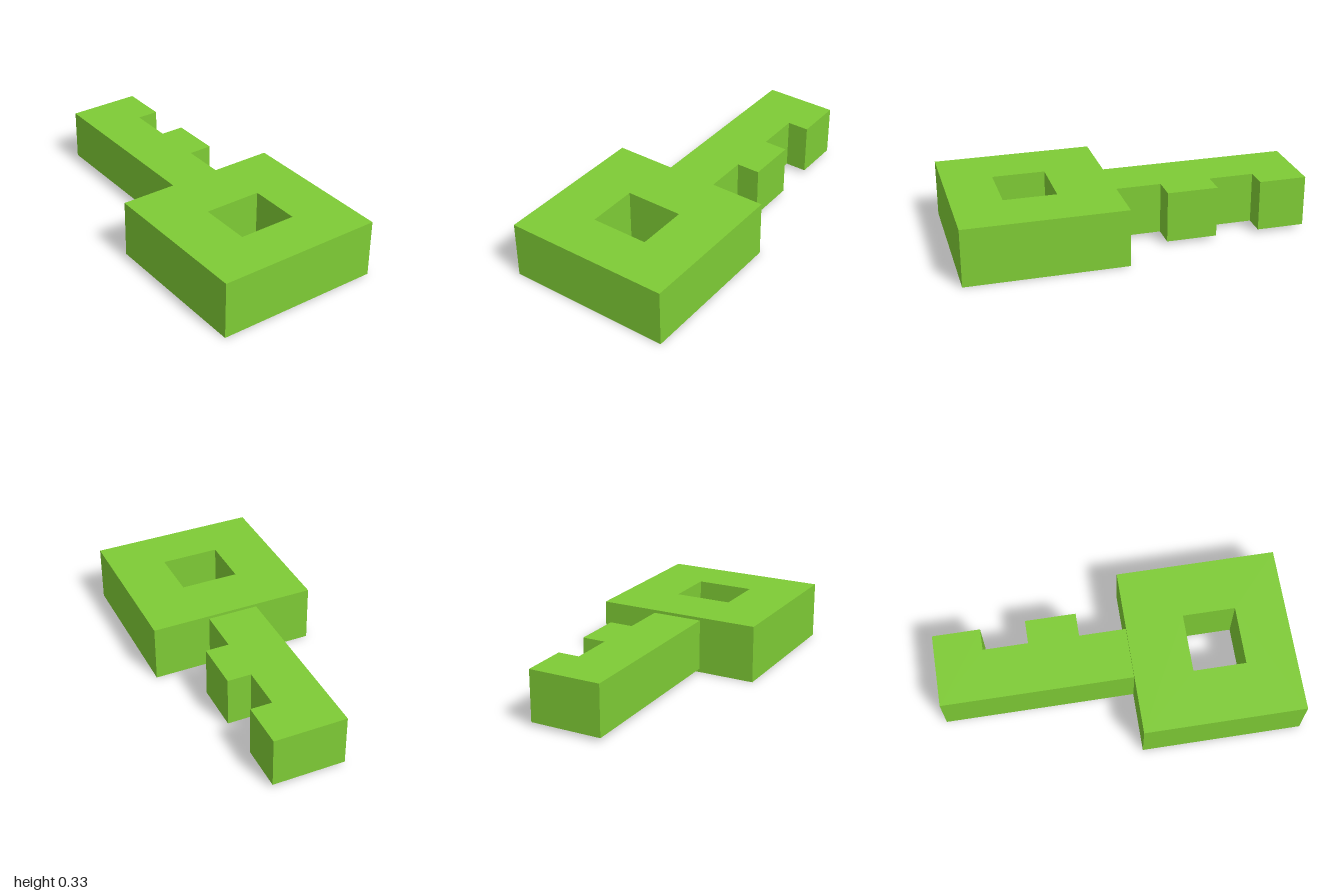
import * as THREE from 'three';

const material = new THREE.MeshStandardMaterial({ color: 0x7ecb35, flatShading: true });

// Points are [x, z] in plan; the outline is extruded upwards from y0 to y1.
const toVectors = (points) => points.map(([x, z]) => new THREE.Vector2(x, -z));

function slab(name, outline, y0, y1, hole) {
  const shape = new THREE.Shape(toVectors(outline));
  if (hole) shape.holes.push(new THREE.Path(toVectors(hole)));
  const geometry = new THREE.ExtrudeGeometry(shape, { depth: y1 - y0, bevelEnabled: false });
  geometry.rotateX(-Math.PI / 2);
  geometry.translate(0, y0, 0);
  const mesh = new THREE.Mesh(geometry, material);
  mesh.name = name;
  return mesh;
}

const rectangle = (x0, x1, z0, z1) => [[x0, z1], [x1, z1], [x1, z0], [x0, z0]];

export function createModel() {
  const key = new THREE.Group();
  key.name = 'key';

  // Square handle with a square hole
  key.add(slab('handle', rectangle(0.087, 1, -0.48, 0.48), 0, 0.331,
    rectangle(0.417, 0.717, -0.17, 0.165)));

  // Shaft with two teeth along its back edge
  key.add(slab('toothedShaft', [
    [-1, 0.145], [0.087, 0.145], [0.087, -0.148],
    [-0.18, -0.148], [-0.18, -0.284], [-0.47, -0.284], [-0.47, -0.148],
    [-0.727, -0.148], [-0.727, -0.273], [-1, -0.273],
  ], 0.02, 0.314));

  return key;
}
